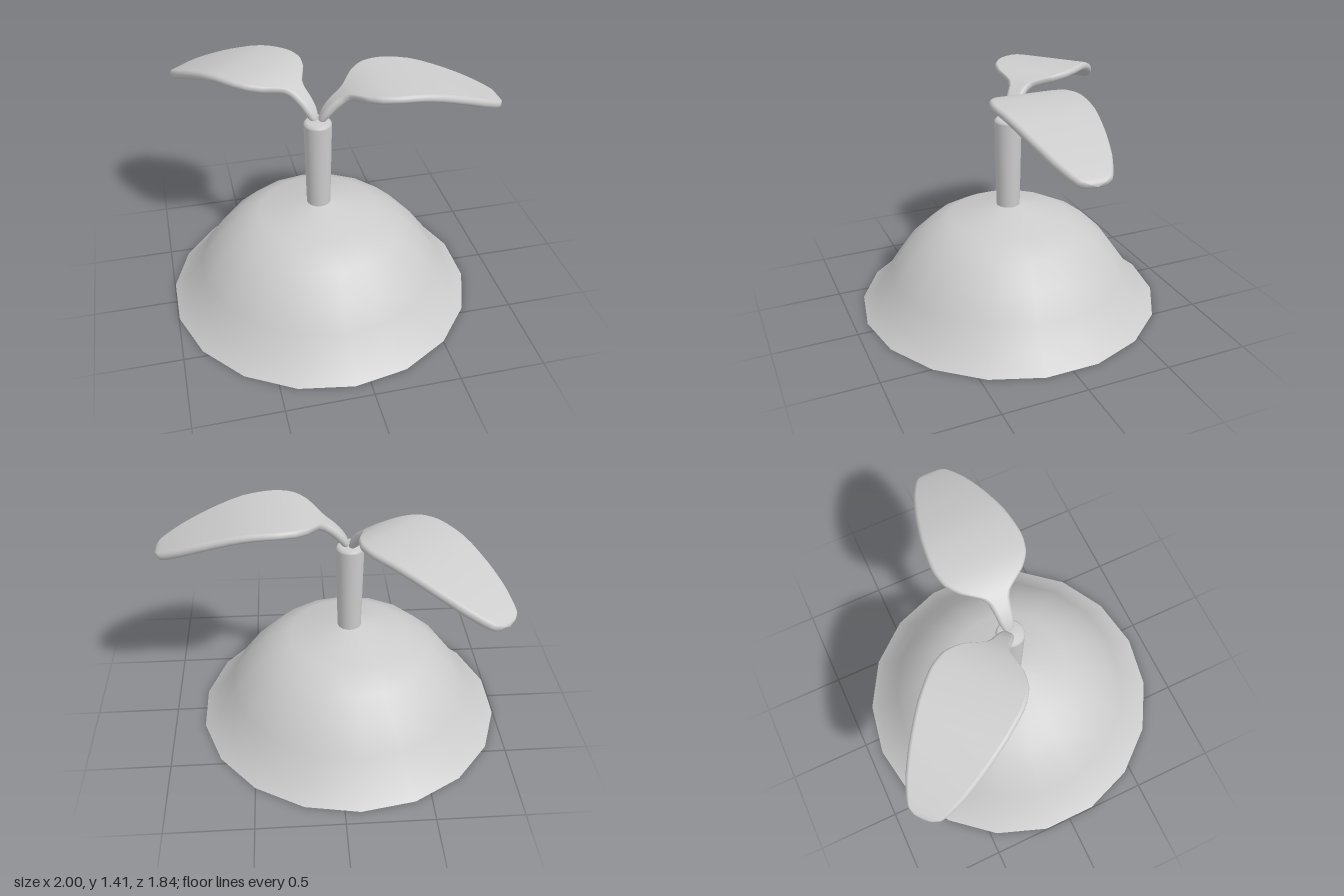
import * as THREE from 'three';

const grey = new THREE.MeshStandardMaterial({ color: 0xcccccc });
const greyOpen = new THREE.MeshStandardMaterial({ color: 0xcccccc, side: THREE.DoubleSide });
const CENTER_X = -0.09;

function lathe(name, profile, sides, material) {
  const points = profile.map(([r, y]) => new THREE.Vector2(r, y));
  const mesh = new THREE.Mesh(new THREE.LatheGeometry(points, sides), material);
  mesh.name = name;
  return mesh;
}

// Leaf stations: distance from the stem axis, height, half width, half thickness
const stations = [
  [0.005, 1.168, 0, 0], [0.02, 1.18, 0.026, 0.018], [0.05, 1.228, 0.042, 0.025],
  [0.09, 1.275, 0.05, 0.026], [0.14, 1.316, 0.06, 0.025], [0.17, 1.336, 0.08, 0.025],
  [0.20, 1.352, 0.125, 0.024], [0.24, 1.368, 0.185, 0.023], [0.31, 1.384, 0.24, 0.023],
  [0.42, 1.388, 0.262, 0.023], [0.59, 1.368, 0.248, 0.025], [0.79, 1.305, 0.205, 0.027],
  [0.93, 1.248, 0.162, 0.028], [1.02, 1.207, 0.12, 0.027], [1.06, 1.189, 0.094, 0.024],
  [1.08, 1.181, 0.056, 0.016], [1.09, 1.176, 0, 0],
];

// Arching leaf with a rounded edge, swept from stadium-shaped cross-sections
function leafGeometry() {
  const path = new THREE.CatmullRomCurve3(stations.map(([s, y]) => new THREE.Vector3(s, y, 0)));
  const size = new THREE.CatmullRomCurve3(stations.map(([, , w, t]) => new THREE.Vector3(w, t, 0)));
  const rows = (stations.length - 1) * 3, sides = 24;
  const positions = [], index = [];
  for (let i = 0; i <= rows; i++) {
    const p = path.getPoint(i / rows);
    const d = path.getTangent(i / rows);
    const s = size.getPoint(i / rows);
    const w = Math.max(s.x, 0), t = Math.min(Math.max(s.y, 0), w);
    for (let j = 0; j < sides; j++) {
      const a = ((j + 0.5) / sides) * Math.PI * 2;
      const across = Math.sign(Math.cos(a)) * (w - t) + t * Math.cos(a);
      const up = t * Math.sin(a);
      positions.push(p.x - d.y * up, p.y + d.x * up, across);
      if (i === rows) continue;
      const k = (j + 1) % sides, r0 = i * sides, r1 = r0 + sides;
      index.push(r0 + j, r1 + j, r0 + k, r1 + j, r1 + k, r0 + k);
    }
  }
  const geometry = new THREE.BufferGeometry();
  geometry.setAttribute('position', new THREE.Float32BufferAttribute(positions, 3));
  geometry.setIndex(index);
  geometry.computeVertexNormals();
  return geometry;
}

export function createModel() {
  const model = new THREE.Group();
  model.name = 'sprout';

  // Hollow mound of soil, open underneath
  const mound = lathe('mound', [
    [0.92, 0], [0.82, 0.08], [0.73, 0.22], [0.63, 0.36],
    [0.5, 0.485], [0.36, 0.56], [0.07, 0.633], [0, 0.645],
  ], 18, greyOpen);

  // Stem, slightly wider at the top, with a bevelled rim
  const stem = lathe('stem', [
    [0.07, 0.6], [0.081, 1.155], [0.079, 1.165], [0.065, 1.18], [0, 1.182],
  ], 24, grey);

  model.add(mound, stem);

  // Two identical leaves turned about the stem
  const geometry = leafGeometry();
  for (const [name, angle] of [['leftLeaf', 0], ['rightLeaf', 2.285]]) {
    const leaf = new THREE.Mesh(geometry, grey);
    leaf.name = name;
    leaf.rotation.y = angle;
    model.add(leaf);
  }

  for (const part of model.children) part.position.x = CENTER_X;
  return model;
}
